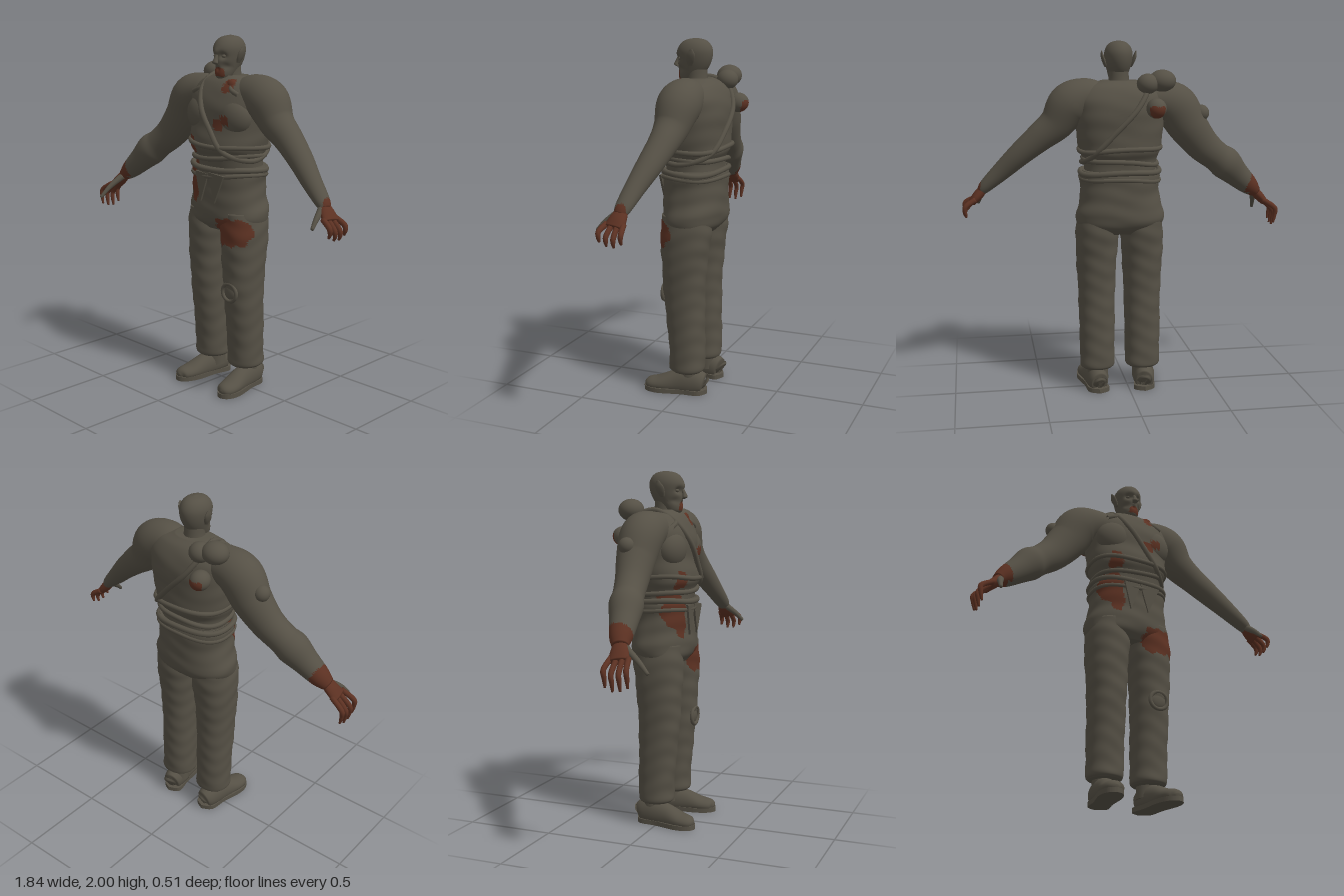
import * as THREE from 'three';

const cloth = new THREE.MeshStandardMaterial({ color: 0x555045, side: THREE.DoubleSide });
cloth.name = 'drab olive grey';
const blood = new THREE.MeshStandardMaterial({ color: 0x5c3122, side: THREE.DoubleSide });
blood.name = 'dried blood brown';

// Stains as soft boxes: centre x, y, z, then half sizes
const STAINS = [
  [0.19, 0.935, 0.14, 0.105, 0.075, 0.13],
  [-0.11, 1.23, 0.1, 0.06, 0.1, 0.1],
  [-0.08, 1.15, 0.12, 0.035, 0.07, 0.1],
  [-0.09, 1.4, 0.14, 0.035, 0.05, 0.08],
  [0.115, 1.525, 0.15, 0.035, 0.03, 0.08],
  [0.155, 1.555, 0.15, 0.035, 0.025, 0.08],
  [0.14, 1.735, 0.09, 0.03, 0.035, 0.06],
  [0.055, 1.803, 0.09, 0.032, 0.024, 0.05],
  [-0.13, 1.62, -0.25, 0.04, 0.035, 0.04],
  [-0.86, 1.08, 0.08, 0.15, 0.19, 0.25],
  [0.9, 1.12, 0.08, 0.085, 0.13, 0.25],
];
const stained = (x, y, z) => STAINS.some(([a, b, c, p, q, r]) =>
  ((x - a) / p) ** 4 + ((y - b) / q) ** 4 + ((z - c) / r) ** 4 < 1 + 0.35 * Math.sin(x * 95 + y * 60));

// Sort triangles into a clean group and a stained group
function paint(g) {
  const p = g.attributes.position, id = g.index.array, sets = [[], []];
  for (let i = 0; i < id.length; i += 3) {
    const t = [id[i], id[i + 1], id[i + 2]];
    const m = (f) => t.reduce((s, k) => s + p[f](k), 0) / 3;
    sets[stained(m('getX'), m('getY'), m('getZ')) ? 1 : 0].push(...t);
  }
  g.setIndex([...sets[0], ...sets[1]]);
  g.clearGroups();
  g.addGroup(0, sets[0].length, 0);
  g.addGroup(sets[0].length, sets[1].length, 1);
  return g;
}

// Smooth body through sections [x, y, z, radius across, radius deep]
function loft(secs, { steps = 8, n = 32, flat = false, power = 1, warp = null } = {}) {
  const V = (x, y, z) => new THREE.Vector3(x, y, z);
  const path = new THREE.CatmullRomCurve3(secs.map((s) => V(s[0], s[1], s[2])), false, 'catmullrom', 0.5);
  const radii = new THREE.CatmullRomCurve3(secs.map((s) => V(s[3], s[4], 0)), false, 'catmullrom', 0.5);
  const rows = (secs.length - 1) * steps, pos = [], idx = [];
  const round = (v) => Math.sign(v) * Math.abs(v) ** power;
  const put = (v) => { if (warp) warp(v); pos.push(v.x, v.y, v.z); };
  for (let i = 0; i <= rows; i++) {
    const c = path.getPoint(i / rows), r = radii.getPoint(i / rows);
    const t = flat ? V(0, Math.sign(secs.at(-1)[1] - secs[0][1]), 0) : path.getTangent(i / rows);
    const w = Math.abs(t.z) > 0.85 ? V(0, 1, 0) : V(0, 0, 1);
    w.addScaledVector(t, -w.dot(t)).normalize();
    const u = w.clone().cross(t);
    for (let j = 0; j < n; j++) {
      const a = (j / n) * Math.PI * 2;
      put(c.clone().addScaledVector(u, round(Math.cos(a)) * r.x).addScaledVector(w, round(Math.sin(a)) * r.y));
    }
  }
  for (let i = 0; i < rows; i++) for (let j = 0; j < n; j++) {
    const a = i * n + j, b = i * n + (j + 1) % n;
    idx.push(a, b, a + n, b, b + n, a + n);
  }
  // end caps
  [0, rows].forEach((row) => {
    const k = pos.length / 3;
    put(path.getPoint(row / rows));
    for (let j = 0; j < n; j++) {
      const a = row * n + j, b = row * n + (j + 1) % n;
      idx.push(k, ...(row ? [a, b] : [b, a]));
    }
  });
  const g = new THREE.BufferGeometry();
  g.setAttribute('position', new THREE.Float32BufferAttribute(pos, 3));
  g.setIndex(idx);
  g.computeVertexNormals();
  return g;
}

// Cloth folds: push points in and out from an upright axis
const folds = (cx, cz, amount) => (v) => {
  const a = Math.atan2(v.z - cz, v.x - cx);
  const k = 1 + amount * (Math.sin(v.y * 62 + 2 * Math.sin(a * 2)) * 0.6 + Math.sin(v.y * 27 + a * 3) * 0.6);
  v.x = cx + (v.x - cx) * k;
  v.z = cz + (v.z - cz) * k;
};

export function createModel() {
  const model = new THREE.Group();
  model.name = 'raggedWalker';
  const add = (name, g, mat) => {
    const m = new THREE.Mesh(mat ? g : paint(g), mat || [cloth, blood]);
    m.name = name;
    model.add(m);
    return m;
  };
  const ball = (name, x, y, z, rx, ry, rz) =>
    add(name, new THREE.SphereGeometry(1, 28, 20).scale(rx, ry, rz).translate(x, y, z));
  const cord = (name, pts, r, closed = false) => add(name, new THREE.TubeGeometry(
    new THREE.CatmullRomCurve3(pts.map((p) => new THREE.Vector3(...p)), closed), 64, r, 8, closed), cloth);

  // Torso and trousers
  add('jacket', loft([
    [0.045, 1.27, -0.018, 0.2, 0.15], [0.045, 1.34, -0.015, 0.205, 0.155], [0.045, 1.39, -0.015, 0.225, 0.18],
    [0.045, 1.44, -0.018, 0.235, 0.18], [0.047, 1.52, -0.028, 0.243, 0.172], [0.05, 1.61, -0.03, 0.25, 0.175],
    [0.05, 1.69, -0.035, 0.25, 0.155], [0.05, 1.75, -0.035, 0.2, 0.12], [0.05, 1.785, -0.03, 0.1, 0.075],
  ], { n: 72, steps: 10, flat: true, power: 0.85, warp: folds(0.045, -0.02, 0.008) }));
  add('trouserSeat', loft([
    [0.042, 0.93, -0.01, 0.2, 0.11], [0.042, 0.98, -0.015, 0.245, 0.155], [0.043, 1.04, -0.018, 0.248, 0.167],
    [0.045, 1.12, -0.018, 0.228, 0.165], [0.045, 1.2, -0.018, 0.222, 0.166], [0.045, 1.26, -0.018, 0.227, 0.168],
    [0.045, 1.29, -0.018, 0.215, 0.158],
  ], { n: 80, steps: 12, flat: true, power: 0.85, warp: folds(0.045, -0.018, 0.015) }));
  [[-0.087, 'right', -1], [0.178, 'left', 1]].forEach(([x, side, s]) => {
    add(side + 'TrouserLeg', loft([
      [x - s * 0.006, 1.04, -0.015, 0.11, 0.14], [x - s * 0.004, 0.93, -0.008, 0.121, 0.143],
      [x, 0.78, -0.002, 0.115, 0.13], [x, 0.6, 0, 0.106, 0.118], [x, 0.4, -0.01, 0.102, 0.107],
      [x, 0.22, -0.018, 0.1, 0.1], [x, 0.15, -0.018, 0.1, 0.1], [x, 0.13, -0.018, 0.085, 0.085],
    ], { n: 48, steps: 14, flat: true, power: 0.9, warp: folds(x, -0.01, 0.022) }));

    // Shoe, ankle and sole, toes turned a little outward
    const toe = x + s * 0.043;
    const flatBottom = (v) => { v.y = Math.max(v.y, 0.02); };
    add(side + 'Shoe', loft([
      [x - s * 0.005, 0.05, -0.125, 0.02, 0.03], [x, 0.06, -0.105, 0.052, 0.065],
      [x + s * 0.008, 0.06, -0.04, 0.06, 0.085], [x + s * 0.02, 0.05, 0.05, 0.058, 0.072],
      [x + s * 0.034, 0.04, 0.14, 0.062, 0.045], [toe, 0.035, 0.2, 0.048, 0.034], [toe, 0.03, 0.225, 0.012, 0.012],
    ], { n: 24, warp: flatBottom }));
    add(side + 'Ankle', new THREE.CylinderGeometry(0.058, 0.062, 0.12, 28).translate(x, 0.12, -0.035), cloth);
    const outline = new THREE.Shape();
    outline.moveTo(x, 0.138);
    outline.splineThru([[x + 0.058, 0.1], [x + s * 0.015 + 0.056, 0], [x + s * 0.035 + 0.066, -0.13],
      [toe + 0.045, -0.205], [toe, -0.232], [toe - 0.045, -0.205], [x + s * 0.035 - 0.066, -0.13],
      [x + s * 0.015 - 0.056, 0], [x - 0.058, 0.1], [x, 0.138]].map((p) => new THREE.Vector2(...p)));
    add(side + 'Sole', new THREE.ExtrudeGeometry(outline, { depth: 0.026, bevelEnabled: false, curveSegments: 6 })
      .rotateX(-Math.PI / 2), cloth);
  });
  add('kneePatch', new THREE.TorusGeometry(0.05, 0.011, 8, 28).scale(1.05, 1, 1).translate(0.178, 0.585, 0.115), cloth);
  ball('kneePad', 0.178, 0.585, 0.105, 0.045, 0.045, 0.018);

  // Chest mass and belts
  ball('rightChest', -0.07, 1.57, 0.06, 0.115, 0.11, 0.085);
  ball('leftChest', 0.165, 1.57, 0.06, 0.115, 0.11, 0.085);
  const hoop = (name, y, rx, rz, tilt, r) => cord(name, Array.from({ length: 28 }, (_, i) => {
    const a = (i / 28) * Math.PI * 2, q = (v) => Math.sign(v) * Math.abs(v) ** 0.85;
    return [0.045 + rx * q(Math.cos(a)), y + tilt * Math.cos(a) + 0.006 * Math.sin(a * 3), -0.018 + rz * q(Math.sin(a))];
  }), r, true);
  hoop('upperRope', 1.41, 0.228, 0.186, -0.01, 0.014);
  hoop('lowerRope', 1.34, 0.207, 0.168, 0.015, 0.014);
  hoop('waistBand', 1.28, 0.222, 0.165, -0.005, 0.016);
  hoop('beltRoll', 1.24, 0.222, 0.166, 0.008, 0.012);
  cord('shoulderStrap', [[-0.08, 1.785, -0.04], [-0.065, 1.73, 0.075], [-0.01, 1.62, 0.148], [0.07, 1.5, 0.163],
    [0.16, 1.38, 0.15], [0.255, 1.33, 0.02], [0.21, 1.38, -0.155], [0.1, 1.5, -0.205], [-0.03, 1.64, -0.205],
    [-0.09, 1.74, -0.145]], 0.015, true);
  // Torn flaps below the belt
  [[0.0, 0.05], [0.11, 0.06]].forEach(([x, w]) => {
    const tri = new THREE.Shape([[x - w, 1.26], [x - w * 0.2, 1.09], [x + w, 1.25]].map((p) => new THREE.Vector2(...p)));
    add('tornFlap', new THREE.ExtrudeGeometry(tri, { depth: 0.012, bevelEnabled: false }).translate(0, 0, 0.145), cloth);
  });
  // Bundles on the back of the right shoulder
  ball('shoulderBundle', -0.175, 1.785, -0.13, 0.075, 0.06, 0.07);
  ball('upperBundle', -0.09, 1.77, -0.15, 0.06, 0.055, 0.06);
  ball('backBundle', -0.13, 1.64, -0.2, 0.055, 0.055, 0.06);
  ball('sleeveBundle', -0.415, 1.6, -0.05, 0.045, 0.045, 0.045);

  // Arms
  add('leftArm', loft([
    [0.14, 1.675, -0.03, 0.09, 0.1], [0.24, 1.69, -0.03, 0.108, 0.112], [0.325, 1.65, -0.028, 0.122, 0.118],
    [0.4, 1.55, -0.02, 0.096, 0.094], [0.49, 1.475, -0.01, 0.08, 0.078], [0.6, 1.38, 0.015, 0.066, 0.068],
    [0.7, 1.285, 0.045, 0.053, 0.055], [0.79, 1.2, 0.067, 0.038, 0.045], [0.82, 1.165, 0.075, 0.026, 0.034],
  ], { n: 40 }));
  add('rightArm', loft([
    [-0.05, 1.67, -0.03, 0.09, 0.1], [-0.16, 1.675, -0.03, 0.105, 0.11], [-0.265, 1.64, -0.03, 0.125, 0.118],
    [-0.34, 1.53, -0.03, 0.113, 0.105], [-0.43, 1.42, -0.015, 0.097, 0.088], [-0.52, 1.345, 0.005, 0.086, 0.083],
    [-0.58, 1.3, 0.02, 0.094, 0.09], [-0.65, 1.235, 0.04, 0.075, 0.075], [-0.73, 1.165, 0.06, 0.057, 0.06],
    [-0.775, 1.125, 0.075, 0.036, 0.042],
  ], { n: 40 }));

  // Hands: palm, four curled fingers and a thumb
  const hand = (side, s, wrist, knuckle, bend, tip, thumb) => {
    const mid = wrist.map((v, i) => (v + knuckle[i]) / 2);
    add(side + 'Palm', loft([[...wrist, 0.025, 0.034], [...mid, 0.028, 0.048], [...knuckle, 0.022, 0.056]],
      { n: 20 }), blood);
    for (let i = 0; i < 4; i++) {
      const dz = (i - 1.5) * 0.031, sp = dz * 0.3, up = 0.018 * Math.abs(i - 1.4);
      add(side + 'Finger', loft([
        [knuckle[0] - s * 0.015, knuckle[1] + 0.015, knuckle[2] + dz, 0.015, 0.015],
        [bend[0], bend[1] + up, bend[2] + dz + sp, 0.015, 0.014],
        [tip[0] + s * 0.008, (bend[1] + tip[1]) / 2 + up, tip[2] + dz + sp, 0.012, 0.012],
        [tip[0], tip[1] + up, tip[2] + dz + sp, 0.006, 0.006],
      ], { n: 10, steps: 6 }), blood);
    }
    add(side + 'Thumb', loft(thumb.map((p, i) => [...p, 0.021 - i * 0.006, 0.021 - i * 0.006]), { n: 10 }), cloth);
  };
  hand('left', 1, [0.805, 1.18, 0.07], [0.868, 1.108, 0.085], [0.905, 1.065, 0.088], [0.905, 1.01, 0.088],
    [[0.81, 1.17, 0.09], [0.825, 1.125, 0.15], [0.835, 1.08, 0.195]]);
  hand('right', -1, [-0.755, 1.145, 0.07], [-0.835, 1.06, 0.095], [-0.89, 1.0, 0.1], [-0.885, 0.91, 0.105],
    [[-0.77, 1.12, 0.1], [-0.795, 1.06, 0.18], [-0.81, 1.0, 0.24]]);

  // Neck, sinews and head
  add('neck', loft([[0.05, 1.72, -0.03, 0.09, 0.075], [0.05, 1.77, -0.025, 0.06, 0.06], [0.05, 1.85, -0.02, 0.055, 0.06]],
    { flat: true, n: 28 }));
  [[-0.13, -0.01], [-0.04, 0.03], [0.12, 0.07], [0.22, 0.11]].forEach(([x0, x1]) =>
    cord('collarSinew', [[x0, 1.69, 0.09], [(x0 + x1) / 2, 1.715, 0.088], [x1, 1.765, 0.025]], 0.014));
  ball('neckWound', 0.14, 1.735, 0.06, 0.035, 0.035, 0.025);
  const dent = (v, x, y, r, d) => {
    if (v.z > 0.02) v.z -= d * Math.exp(-((v.x - x) ** 2 + (v.y - y) ** 2) / (r * r));
  };
  add('head', loft([
    [0.05, 1.765, 0.035, 0.03, 0.03], [0.05, 1.785, 0.025, 0.046, 0.055], [0.05, 1.83, 0.002, 0.06, 0.082],
    [0.05, 1.88, -0.01, 0.073, 0.096], [0.05, 1.93, -0.012, 0.078, 0.101], [0.05, 1.967, -0.014, 0.066, 0.085],
    [0.05, 1.99, -0.016, 0.042, 0.055], [0.05, 2.0, -0.018, 0.006, 0.008],
  ], { n: 56, steps: 8, flat: true, warp: (v) => {
    for (const s of [-1, 1]) {
      dent(v, 0.05 + s * 0.031, 1.892, 0.017, 0.022);
      dent(v, 0.05 + s * 0.042, 1.835, 0.018, 0.014);
    }
    dent(v, 0.05, 1.822, 0.013, 0.012);
    dent(v, 0.05, 1.912, 0.02, -0.008);
  } }));
  add('nose', loft([[0.05, 1.905, 0.08, 0.008, 0.008], [0.05, 1.875, 0.093, 0.012, 0.012],
    [0.05, 1.855, 0.098, 0.019, 0.014], [0.05, 1.845, 0.088, 0.012, 0.008]], { n: 14, flat: true }), cloth);
  for (const s of [-1, 1]) {
    ball('eye', 0.05 + s * 0.031, 1.89, 0.062, 0.012, 0.009, 0.012);
    add('ear', loft([[0.05 + s * 0.068, 1.855, -0.01, 0.008, 0.012], [0.05 + s * 0.08, 1.885, -0.016, 0.011, 0.024],
      [0.05 + s * 0.09, 1.915, -0.022, 0.009, 0.025], [0.05 + s * 0.096, 1.945, -0.028, 0.003, 0.006]],
    { n: 14, flat: true }), cloth);
  }
  return model;
}
